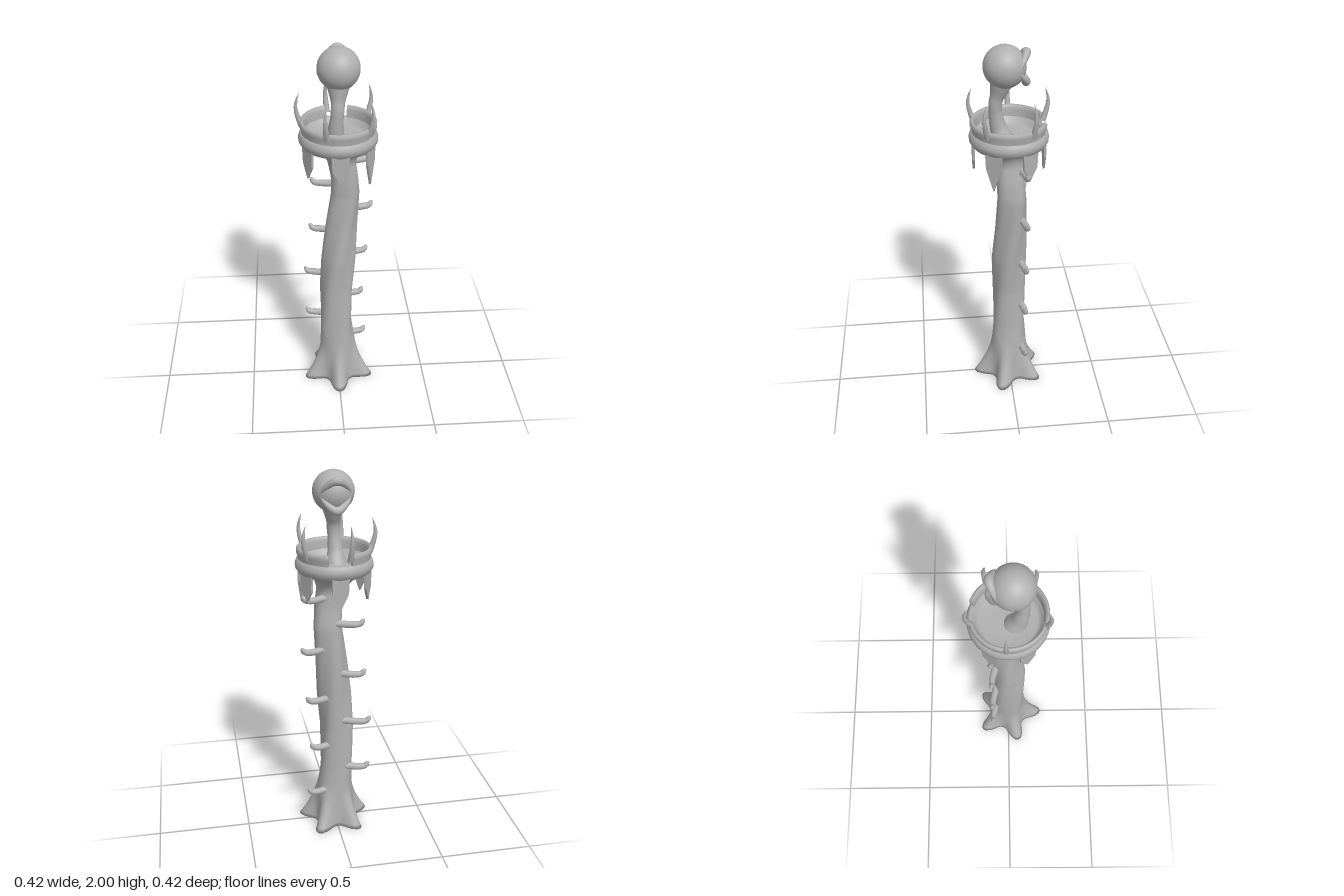
import * as THREE from 'three';
import { mergeVertices } from 'three/addons/utils/BufferGeometryUtils.js';

const V = (x, y, z) => new THREE.Vector3(x, y, z);
const grey = new THREE.MeshStandardMaterial({ color: 0xb0b0b0, side: THREE.DoubleSide });
grey.name = 'stone grey';

// Welds seams and recomputes smooth normals
function smooth(geo) {
  geo.deleteAttribute('uv');
  geo.deleteAttribute('normal');
  const g = mergeVertices(geo, 1e-5);
  g.computeVertexNormals();
  return g;
}

function add(parent, name, geo) {
  const mesh = new THREE.Mesh(geo, grey);
  mesh.name = name;
  parent.add(mesh);
  return mesh;
}

// Linear lookup: rows of [t, a, b, c...], eased between rows
function sample(rows, t, col) {
  let i = 0;
  while (i < rows.length - 2 && t > rows[i + 1][0]) i++;
  const [p, q] = [rows[i], rows[i + 1]];
  const k = THREE.MathUtils.clamp((t - p[0]) / (q[0] - p[0]), 0, 1);
  return THREE.MathUtils.lerp(p[col], q[col], k);
}

// Tube along points whose radius follows [t, radius] rows
function taperedTube(points, radii, sides = 10, steps = 20) {
  const curve = new THREE.CatmullRomCurve3(points);
  const geo = new THREE.TubeGeometry(curve, steps, 1, sides);
  const pos = geo.attributes.position, v = V(0, 0, 0);
  for (let i = 0; i <= steps; i++) {
    const c = curve.getPointAt(i / steps), r = sample(radii, i / steps, 1);
    for (let j = 0; j <= sides; j++) {
      const k = i * (sides + 1) + j;
      v.fromBufferAttribute(pos, k).sub(c).multiplyScalar(r).add(c);
      pos.setXYZ(k, v.x, v.y, v.z);
    }
  }
  return smooth(geo);
}

// Height, centre x, centre z, radius of the trunk
const TRUNK = [
  [0, 0, 0, 0.115], [0.2, 0, 0, 0.1], [0.35, -0.01, 0, 0.092], [0.6, -0.012, 0, 0.088],
  [0.8, 0.002, 0, 0.088], [1.0, 0.018, -0.01, 0.082], [1.2, 0.038, -0.012, 0.078],
  [1.3, 0.033, -0.004, 0.075], [1.4, 0.016, 0, 0.076], [1.45, 0.006, 0, 0.1], [1.5, 0, 0, 0.17],
];

// Twisted trunk with five flared roots
function trunkGeometry() {
  const geo = new THREE.CylinderGeometry(1, 1, 1.5, 60, 75);
  geo.translate(0, 0.75, 0);
  const pos = geo.attributes.position;
  for (let i = 0; i < pos.count; i++) {
    const x = pos.getX(i), y = pos.getY(i), z = pos.getZ(i);
    const a = Math.atan2(z, x);
    const twist = 1 + 0.06 * Math.cos(4 * (a + 1.8 * y)) * THREE.MathUtils.smoothstep(y, 0.1, 0.4);
    const flare = Math.max(0, 1 - y / 0.28) ** 2;
    const root = 0.09 * flare * ((1 + Math.cos(5 * (a - Math.PI / 2))) / 2) ** 1.5;
    const r = sample(TRUNK, y, 3) * twist + root;
    pos.setXYZ(i, x * r + sample(TRUNK, y, 1), y, z * r + sample(TRUNK, y, 2));
  }
  return smooth(geo);
}

function lathe(profile, start = 0, length = Math.PI * 2) {
  return smooth(new THREE.LatheGeometry(profile.map(p => new THREE.Vector2(...p)), 60, start, length));
}

export function createModel() {
  const model = new THREE.Group();
  model.name = 'eyeTower';
  add(model, 'trunk', trunkGeometry());

  // Climbing pegs with upturned ends: side, height, tip x
  const pegs = [
    [1, 0.22, 0.165], [1, 0.505, 0.148], [1, 0.79, 0.167], [1, 1.075, 0.19], [1, 1.36, 0.182],
    [-1, 0.365, -0.18], [-1, 0.65, -0.183], [-1, 0.935, -0.152], [-1, 1.22, -0.142],
  ];
  for (const [side, y, tip] of pegs) {
    const z = side > 0 ? -0.075 : -0.088;
    add(model, 'climbingPeg', taperedTube([
      V(sample(TRUNK, y, 1) + side * 0.02, y + 0.005, z + 0.025),
      V(tip - side * 0.055, y, z), V(tip - side * 0.02, y + 0.005, z - 0.003), V(tip, y + 0.033, z - 0.008),
    ], [[0, 0.02], [0.6, 0.018], [0.85, 0.015], [0.97, 0.008], [1, 0]]));
  }

  // Basket: rounded lower ring with floor, then a wall open at the back
  const basket = new THREE.Group();
  basket.name = 'basket';
  model.add(basket);
  add(basket, 'basketBowl', lathe([
    [0.09, 1.45], [0.15, 1.48], [0.185, 1.492], [0.2, 1.515], [0.201, 1.535], [0.194, 1.558],
    [0.182, 1.565], [0.168, 1.56], [0.16, 1.535], [0.14, 1.522], [0.07, 1.522], [0.001, 1.525],
  ]));
  const wall = [
    [0.186, 1.55], [0.187, 1.575], [0.194, 1.595], [0.194, 1.612], [0.186, 1.622],
    [0.176, 1.618], [0.17, 1.6], [0.168, 1.55],
  ];
  const gap = 0.33;
  add(basket, 'basketWall', lathe(wall, Math.PI + gap, Math.PI * 2 - gap * 2));
  for (const phi of [Math.PI - gap, Math.PI + gap]) {
    const end = new THREE.ShapeGeometry(new THREE.Shape(wall.map(p => new THREE.Vector2(...p))));
    add(basket, 'wallEnd', end.rotateY(phi - Math.PI / 2));
  }

  // Pointed blades hanging below the basket
  const bladeTips = [1.355, 1.3, 1.355, 1.335, 1.355, 1.345];
  bladeTips.forEach((tip, i) => {
    const shape = new THREE.Shape([
      [-0.045, 1.51], [-0.04, 1.42], [0, tip], [0.04, 1.42], [0.045, 1.51],
    ].map(p => new THREE.Vector2(...p)));
    const geo = new THREE.ExtrudeGeometry(shape, { depth: 0.012, bevelEnabled: false });
    geo.translate(0, 0, 0.174);
    add(basket, 'hangingBlade', geo).rotation.y = i * Math.PI / 3;
  });

  // Curved claws around the rim
  for (const [x, z] of [[-0.05, -0.19], [0.162, -0.107], [0.15, 0.123], [-0.068, 0.18], [-0.19, -0.013]]) {
    const n = V(x, 0, z).normalize();
    const at = (r, y) => n.clone().multiplyScalar(r).setY(y);
    add(basket, 'rimClaw', taperedTube([
      at(0.182, 1.585), at(0.2, 1.635), at(0.21, 1.685), at(0.203, 1.73), at(0.19, 1.765),
    ], [[0, 0.016], [0.35, 0.013], [0.7, 0.008], [1, 0]], 6, 12));
  }

  // Eyeball on a bent stalk, looking to the back
  const eye = new THREE.Group();
  eye.name = 'eye';
  model.add(eye);
  add(eye, 'eyeStalk', taperedTube([
    V(-0.015, 1.5, 0.03), V(-0.015, 1.6, 0.058), V(-0.007, 1.7, 0.066), V(-0.003, 1.78, 0.045), V(0, 1.86, 0.025),
  ], [[0, 0.06], [0.2, 0.042], [0.45, 0.033], [0.65, 0.034], [0.85, 0.055], [1, 0.07]], 18, 30));
  const ball = add(eye, 'eyeball', new THREE.SphereGeometry(0.106, 36, 24));
  ball.position.set(0, 1.894, 0.02);

  // Upper and lower eyelids meeting at the corners
  for (const [name, mid, side] of [['upperEyelid', 1.962, 1.938], ['lowerEyelid', 1.815, 1.842]]) {
    add(eye, name, taperedTube([
      V(-0.08, 1.887, -0.042), V(-0.045, side, -0.068), V(0, mid, -0.084),
      V(0.045, side, -0.068), V(0.08, 1.887, -0.042),
    ], [[0, 0.004], [0.2, 0.013], [0.5, 0.023], [0.8, 0.013], [1, 0.004]], 12, 28));
  }
  return model;
}
